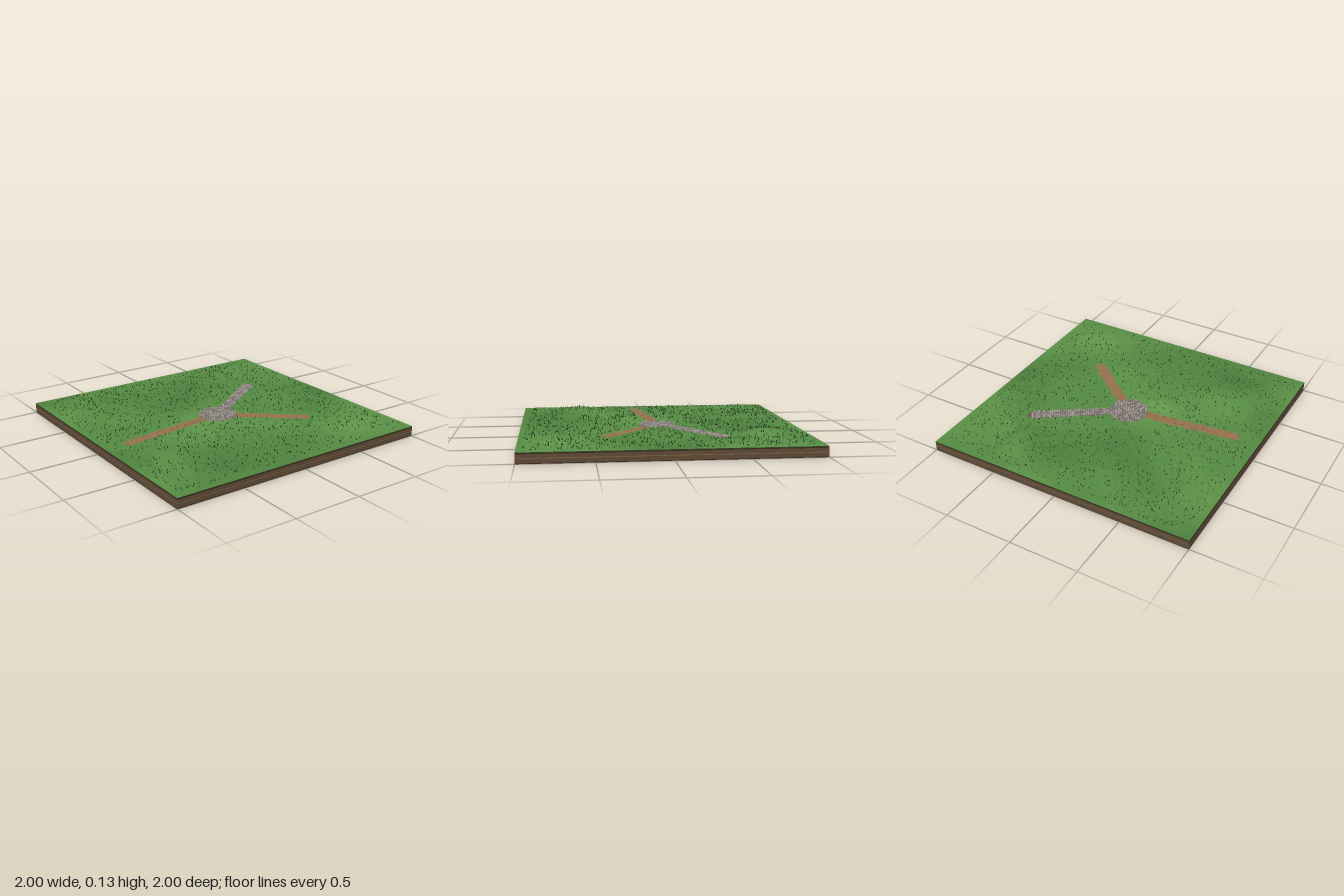
import * as THREE from 'three';
import { mergeGeometries } from 'three/addons/utils/BufferGeometryUtils.js';

const TOP = 0.074;
const PLAZA_R = 0.14;
const PATHS = [
  { name: 'frontDirtPath', end: [0.1, 0.81], stone: false },
  { name: 'backDirtPath', end: [0.41, -0.49], stone: false },
  { name: 'cobblePath', end: [-0.4, -0.59], stone: true },
];
// x, z, height, x radius, z radius towards the front, z radius towards the back
const HILLS = [
  [0.54, 0.7, 0.042, 0.33, 0.17, 0.42],
  [-0.7, -0.5, 0.038, 0.26, 0.26, 0.13],
  [-0.66, 0.36, 0.02, 0.25, 0.25, 0.25],
  [0.22, 0.22, 0.018, 0.12, 0.12, 0.16],
  [-0.2, -0.12, 0.006, 0.25, 0.2, 0.2],
];

function seeded(seed) {
  return () => {
    seed = (seed * 1664525 + 1013904223) % 4294967296;
    return seed / 4294967296;
  };
}

const clamp = THREE.MathUtils.clamp;
const wave = (x, z) => Math.sin(4.1 * x + 2.3 * z + 0.6) + Math.sin(3.2 * z - 5.3 * x + 1.7) * 0.8
  + Math.sin(8.7 * x + 1.3) * Math.sin(7.9 * z + 0.4) * 0.7;

function pathDistance(x, z, path) {
  const [ex, ez] = path.end;
  const t = clamp((x * ex + z * ez) / (ex * ex + ez * ez), 0, 1);
  return Math.hypot(x - t * ex, z - t * ez);
}

function height(x, z) {
  const edge = clamp((1 - Math.max(Math.abs(x), Math.abs(z))) / 0.12, 0, 1);
  let near = Math.hypot(x, z) - PLAZA_R;
  for (const p of PATHS) near = Math.min(near, pathDistance(x, z, p) - 0.04);
  const offPath = clamp(near / 0.08, 0, 1);
  let h = 0.001 * (wave(x * 1.7, z * 1.7) + 1.5);
  for (const [hx, hz, top, rx, rf, rb] of HILLS) {
    const d = Math.hypot((x - hx) / rx, (z - hz) / (z > hz ? rf : rb));
    if (d < 1) h += top * (1 - d * d) ** 2;
  }
  return TOP + Math.max(h, 0) * edge * (0.15 + 0.85 * offPath);
}

function addMesh(group, name, geometry, color, options = {}) {
  const mesh = new THREE.Mesh(geometry, new THREE.MeshStandardMaterial({ color, ...options }));
  mesh.name = name;
  group.add(mesh);
  return mesh;
}

// Earth block: stacked bands of soil around the sides, closed underneath
function buildSlab() {
  const slab = new THREE.Group();
  slab.name = 'soilSlab';
  const bands = [
    ['bottomSoil', 0, 0.005, 0x3a2c1f], ['lowerSoil', 0.005, 0.033, 0x5f4a35],
    ['paleSeam', 0.033, 0.037, 0x80694f], ['upperSoil', 0.037, 0.062, 0x5f4a35],
    ['darkTopsoil', 0.062, 0.07, 0x3a2c1f], ['turfEdge', 0.07, TOP, 0x35502a],
  ];
  for (const [name, y0, y1, color] of bands) {
    const wall = new THREE.CylinderGeometry(Math.SQRT2, Math.SQRT2, y1 - y0, 4, 1, true, Math.PI / 4);
    addMesh(slab, name, wall.translate(0, (y0 + y1) / 2, 0), color, { flatShading: true });
  }
  addMesh(slab, 'underside', new THREE.PlaneGeometry(2, 2).rotateX(Math.PI / 2), 0x2e2219);
  return slab;
}

// Rolling ground: one height field, its cells sorted into tones of grass and earth
function buildGround(random) {
  const ground = new THREE.Group();
  ground.name = 'ground';
  const n = 160;
  const field = new THREE.PlaneGeometry(2, 2, n, n).rotateX(-Math.PI / 2);
  const pos = field.attributes.position;
  for (let i = 0; i < pos.count; i++) pos.setY(i, height(pos.getX(i), pos.getZ(i)));
  field.computeVertexNormals();

  const tones = {
    darkGrass: 0x4b7c3c, deepGrass: 0x50833f, midGrass: 0x558a43, lightGrass: 0x5a9046, brightGrass: 0x619749,
    dirt: 0x967150, darkDirt: 0x80633f, stoneBedding: 0x665a50,
  };
  const grass = Object.keys(tones).slice(0, 5);
  const cells = Object.fromEntries(Object.keys(tones).map((k) => [k, []]));
  for (let c = 0; c < n * n; c++) {
    const x = ((c % n) + 0.5) / n * 2 - 1;
    const z = (Math.floor(c / n) + 0.5) / n * 2 - 1;
    const ragged = 0.04 + (random() - 0.5) * 0.012;
    let tone = grass[clamp(Math.floor(2.5 + wave(x, z) * 0.85 + (random() - 0.5) * 0.5), 0, 4)];
    for (const p of PATHS) {
      if (pathDistance(x, z, p) > ragged) continue;
      tone = p.stone ? 'stoneBedding' : random() < 0.14 ? 'darkDirt' : 'dirt';
    }
    if (Math.hypot(x, z) < PLAZA_R) tone = 'stoneBedding';
    for (let k = 0; k < 6; k++) cells[tone].push(field.index.getX(c * 6 + k));
  }
  for (const name in tones) {
    const part = new THREE.BufferGeometry();
    part.setAttribute('position', pos);
    part.setAttribute('normal', field.attributes.normal);
    part.setIndex(cells[name]);
    addMesh(ground, name, part, tones[name]);
  }
  return ground;
}

// Cobbles: concentric rings on the plaza, staggered rows along the stone path
function buildCobbles(random) {
  const cobbles = new THREE.Group();
  cobbles.name = 'cobbles';
  const shades = [0x8f8882, 0x7b736e, 0xa29a93];
  const addSet = (name, spots) => {
    const sets = shades.map(() => []);
    for (const [x, z, angle, r] of spots) {
      const stone = new THREE.CylinderGeometry(r * 0.75, r, 0.009, 6);
      stone.scale(1, 0.8 + random() * 0.4, 0.9 + random() * 0.15).rotateY(angle);
      sets[Math.floor(random() * 3)].push(stone.translate(x, height(x, z) + 0.003, z));
    }
    sets.forEach((set, i) => addMesh(cobbles, `${name}Shade${i + 1}`, mergeGeometries(set), shades[i], { flatShading: true }));
  };

  const rings = [[0, 0, 0, 0.009]];
  for (let k = 1; k <= 7; k++) {
    const r = k * 0.0187;
    const count = Math.round(2 * Math.PI * r / 0.0185);
    for (let i = 0; i < count; i++) {
      const a = (i + (k % 2) / 2) / count * Math.PI * 2;
      rings.push([Math.cos(a) * r, Math.sin(a) * r, -a, 0.0098]);
    }
  }
  addSet('plazaStones', rings);

  const [ex, ez] = PATHS[2].end;
  const length = Math.hypot(ex, ez);
  const [dx, dz] = [ex / length, ez / length];
  const rows = [];
  for (let s = PLAZA_R + 0.008, row = 0; s < length; s += 0.0165, row++) {
    for (let i = -2; i <= 2; i++) {
      const across = (i + (row % 2 ? 0.25 : -0.25)) * 0.0165 + (random() - 0.5) * 0.004;
      rows.push([dx * s - dz * across, dz * s + dx * across, random() * 3, 0.0095]);
    }
  }
  addSet('pathStones', rows);
  return cobbles;
}

// Scattered tufts: three blades leaning outwards from one root, clear of the paths
function scatter(random, count, width, tall, lean) {
  const corners = [];
  while (count > 0) {
    const x = (random() * 2 - 1) * 0.96;
    const z = (random() * 2 - 1) * 0.96;
    if (Math.hypot(x, z) < PLAZA_R + 0.02 || PATHS.some((p) => pathDistance(x, z, p) < 0.055)) continue;
    count--;
    const y = height(x, z);
    const turn = random() * Math.PI;
    const size = 0.7 + random() * 0.6;
    for (let b = 0; b < 3; b++) {
      const a = turn + b * Math.PI * 2 / 3;
      const [c, s] = [Math.cos(a) * size, Math.sin(a) * size];
      corners.push(x - s * width, y - 0.001, z + c * width, x + s * width, y - 0.001, z - c * width,
        x + c * lean, y + tall * size, z + s * lean);
    }
  }
  const geometry = new THREE.BufferGeometry();
  geometry.setAttribute('position', new THREE.Float32BufferAttribute(corners, 3));
  geometry.computeVertexNormals();
  return geometry;
}

export function createModel() {
  const model = new THREE.Group();
  model.name = 'meadowTile';
  const random = seeded(17);
  model.add(buildSlab(), buildGround(random), buildCobbles(random));

  const thin = { side: THREE.DoubleSide };
  addMesh(model, 'darkGrassTufts', scatter(random, 1300, 0.003, 0.013, 0.005), 0x1f3a1c, thin);
  addMesh(model, 'greenGrassTufts', scatter(random, 600, 0.003, 0.011, 0.005), 0x35602b, thin);
  addMesh(model, 'dryLeaves', scatter(random, 260, 0.004, 0.003, 0.008), 0x9a8a42, thin);
  return model;
}
